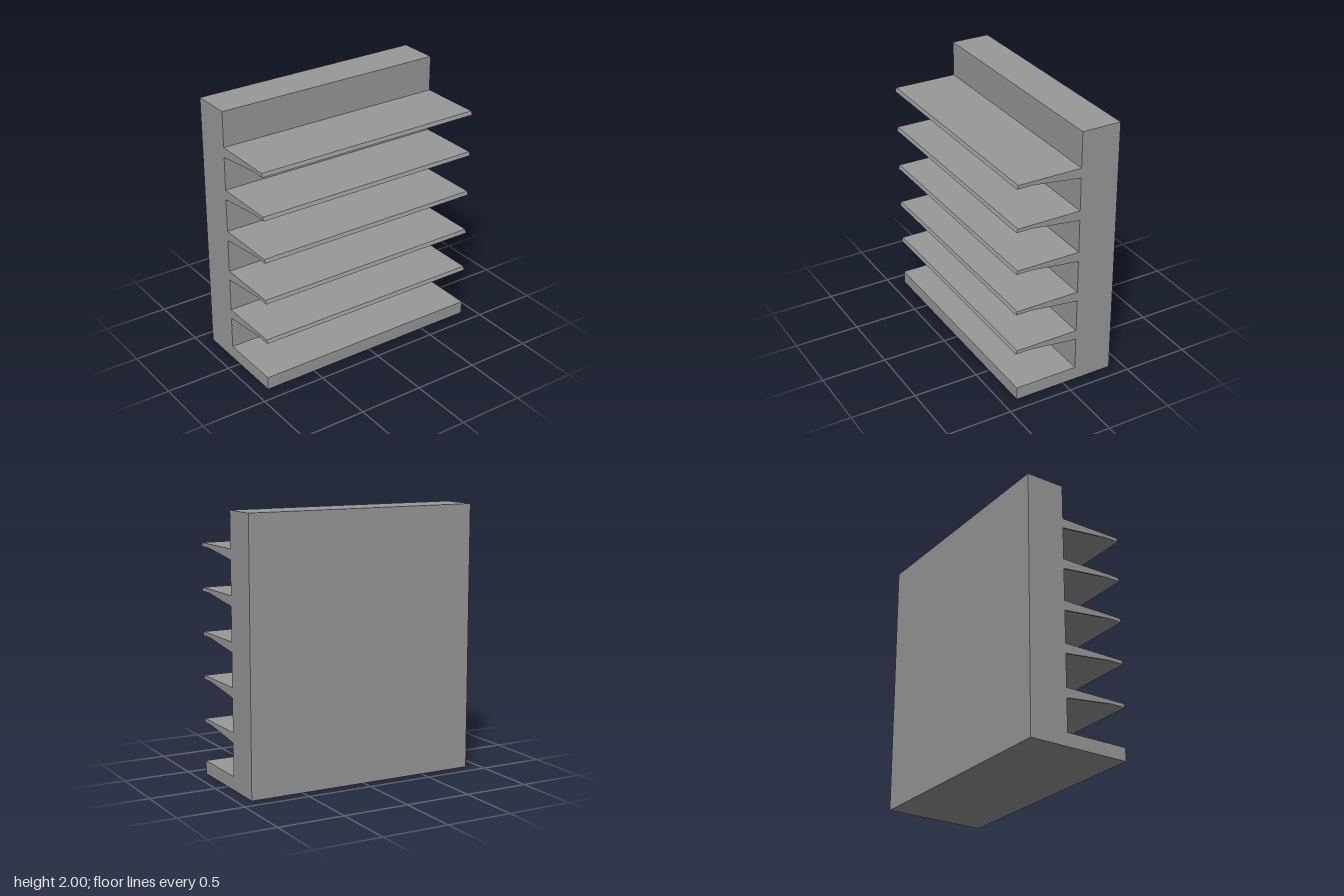
import * as THREE from 'three';

const WIDTH = 1.8;
const BACK_FRONT = -0.1; // z of the back panel's front face

export function createModel() {
  const model = new THREE.Group();
  model.name = 'shelfUnit';
  const grey = new THREE.MeshStandardMaterial({ color: 0x999999 });
  grey.name = 'grey';

  // Extrudes a [z, y] side profile along x, centred on x
  function sideProfile(name, points, width, x = 0) {
    const shape = new THREE.Shape(points.map(([z, y]) => new THREE.Vector2(-z, y)));
    const geometry = new THREE.ExtrudeGeometry(shape, { depth: width, bevelEnabled: false });
    geometry.translate(0, 0, -width / 2);
    geometry.rotateY(Math.PI / 2);
    const mesh = new THREE.Mesh(geometry, grey);
    mesh.name = name;
    mesh.position.x = x;
    return mesh;
  }

  // Back panel and base as one L-shaped body
  model.add(sideProfile('backAndBase', [
    [-0.4, 0], [0.39, 0], [0.39, 0.1], [BACK_FRONT, 0.1], [BACK_FRONT, 2], [-0.4, 2],
  ], WIDTH));

  // Five shelves, each with a slanted lip and a thin tapered bracket at both ends
  for (let i = 0; i < 5; i++) {
    const shelf = new THREE.Group();
    shelf.name = `shelf${i + 1}`;
    shelf.position.y = 0.423 + i * 0.3272;
    shelf.add(sideProfile('shelfBoard', [
      [BACK_FRONT, -0.028], [0.4, -0.028], [0.39, 0], [BACK_FRONT, 0],
    ], WIDTH));
    for (const side of [-1, 1]) {
      shelf.add(sideProfile(side > 0 ? 'leftBracket' : 'rightBracket', [
        [BACK_FRONT, -0.075], [0.28, -0.028], [BACK_FRONT, -0.028],
      ], 0.012, side * (WIDTH / 2 - 0.006)));
    }
    model.add(shelf);
  }
  return model;
}
